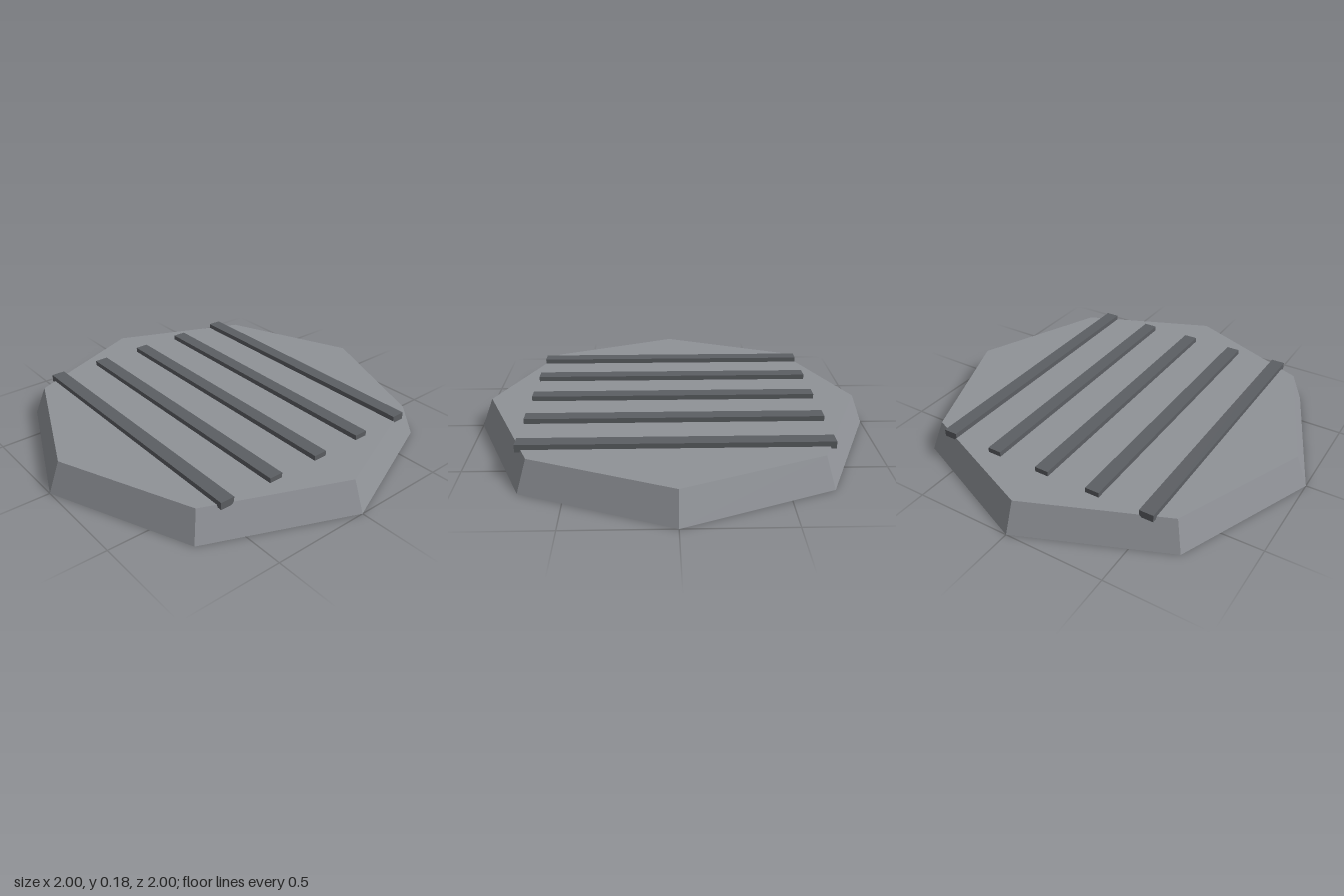
import * as THREE from 'three';

export function createModel() {
  const group = new THREE.Group();
  const baseMaterial = new THREE.MeshStandardMaterial({ color: 0x8f9297, flatShading: true });
  const slatMaterial = new THREE.MeshStandardMaterial({ color: 0x5c5f63, flatShading: true });

  // Eight-sided plinth with sloping edges
  const height = 0.152;
  const base = new THREE.Mesh(new THREE.CylinderGeometry(0.94, 1, height, 8), baseMaterial);
  base.name = 'base';
  base.position.y = height / 2;
  group.add(base);

  // Five parallel slats, slightly sunk into the top
  const slats = new THREE.Group();
  slats.name = 'slats';
  const slatGeometry = new THREE.BoxGeometry(1.455, 0.036, 0.07);
  for (let i = -2; i <= 2; i++) {
    const slat = new THREE.Mesh(slatGeometry, slatMaterial);
    slat.name = 'slat';
    slat.position.set(0, 0.159, i * 0.273);
    slats.add(slat);
  }
  group.add(slats);

  return group;
}
